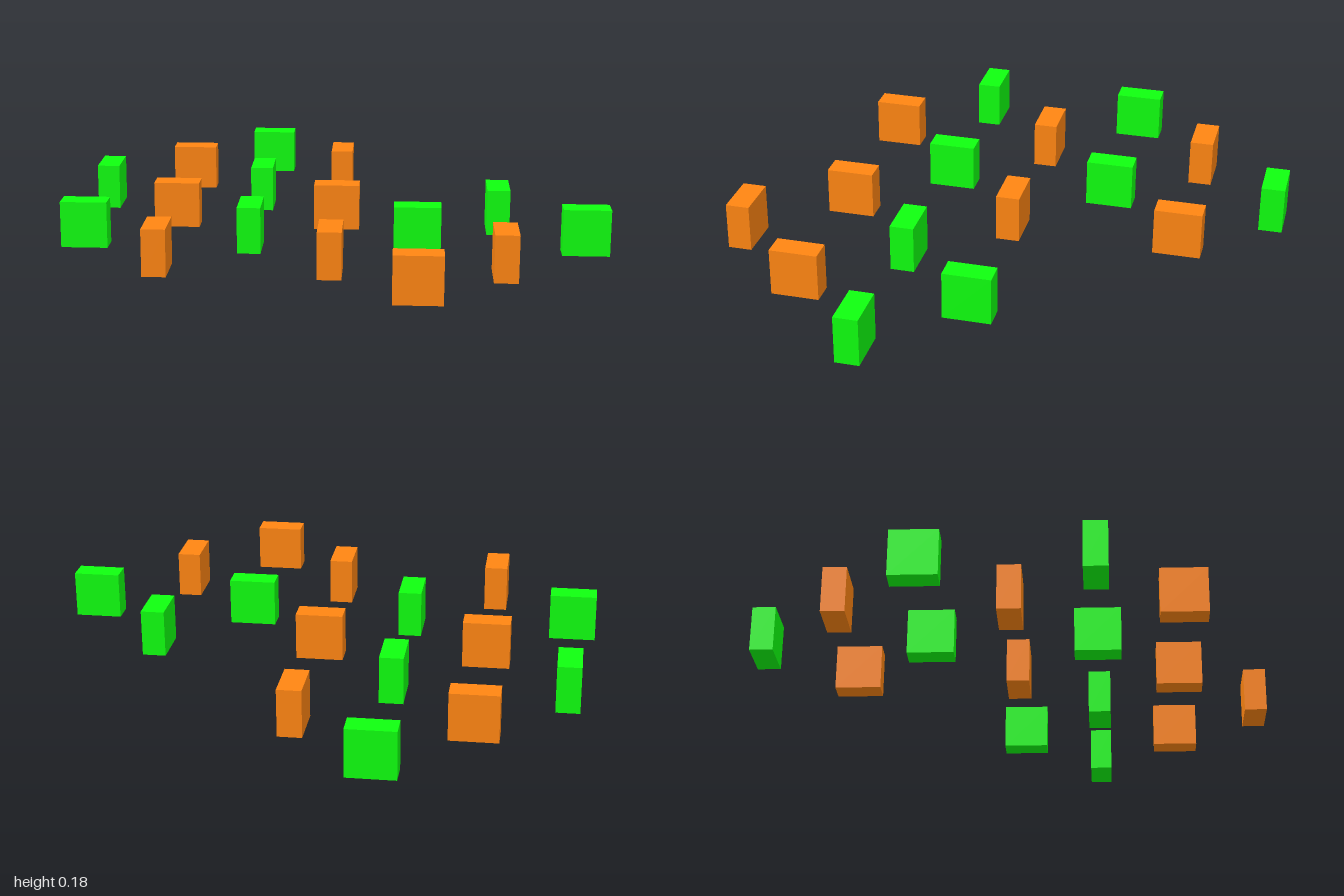
import * as THREE from 'three';

// Each row runs from -x to +x; g/o = colour, / or \ = diagonal seen from above
const LAYOUT = [
  ['', 'g/', 'o\\', 'g\\'],
  ['g\\', 'o\\', 'g/', 'o/'],
  ['o/', 'g/', 'o\\', ''],
  ['', 'o/', 'g\\', 'g/'],
  ['', 'o\\', 'o/', 'g\\'],
];
const SPACING = 0.4525;
const LENGTH = 0.18, HEIGHT = 0.18, DEPTH = 0.09;

export function createModel() {
  const group = new THREE.Group();
  group.name = 'blockField';
  const geometry = new THREE.BoxGeometry(LENGTH, HEIGHT, DEPTH);
  const materials = {
    g: new THREE.MeshStandardMaterial({ color: 0x0fff0f }),
    o: new THREE.MeshStandardMaterial({ color: 0xff8512 }),
  };

  // Upright blocks turned 45 degrees on a regular grid with gaps
  LAYOUT.forEach((row, r) => row.forEach((cell, c) => {
    if (!cell) return;
    const block = new THREE.Mesh(geometry, materials[cell[0]]);
    block.name = `${cell[0] === 'g' ? 'green' : 'orange'}Block_row${r + 1}_column${c + 1}`;
    block.position.set((c - 1.5) * SPACING, HEIGHT / 2, (r - 2) * SPACING);
    block.rotation.y = (cell[1] === '/' ? 1 : -1) * Math.PI / 4;
    group.add(block);
  }));
  return group;
}
